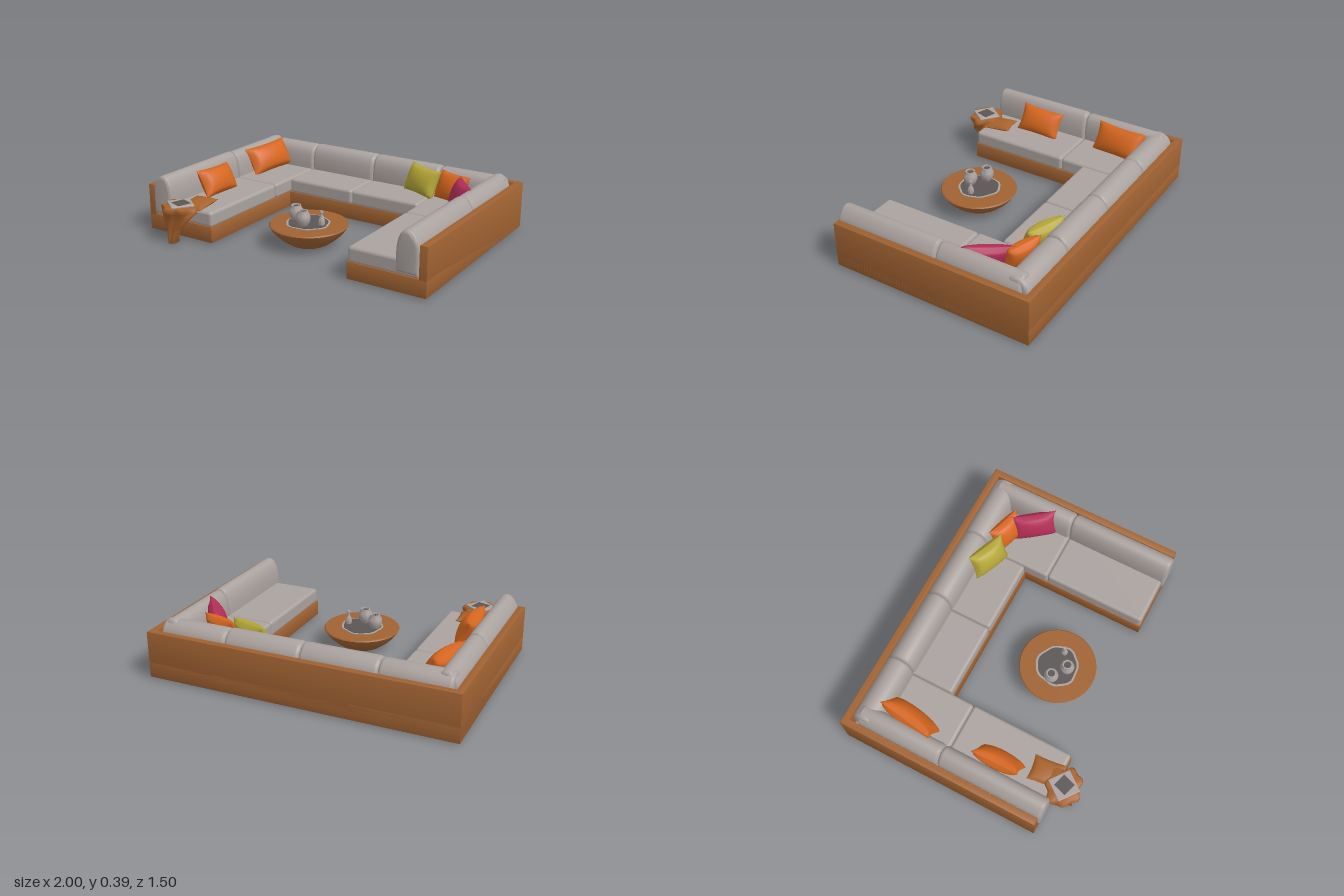
import * as THREE from 'three';
import { mergeVertices, toCreasedNormals } from 'three/addons/utils/BufferGeometryUtils.js';
import { RoundedBoxGeometry } from 'three/addons/geometries/RoundedBoxGeometry.js';

const material = (name, color) => {
  const m = new THREE.MeshStandardMaterial({ color });
  m.name = name;
  return m;
};

export function createModel() {
  const root = new THREE.Group();
  root.name = 'loungeSet';
  const wood = material('warm wood', 0xa06232);
  const fabric = material('grey fabric', 0xaaa29f);
  const dark = material('dark slate', 0x595655);
  const orange = material('orange cloth', 0xd5661f);
  const yellow = material('mustard cloth', 0xb3a536);
  const pink = material('raspberry cloth', 0xb22e57);
  const throwCloth = material('rust throw', 0xa8622c);

  const add = (name, geo, mat, x = 0, y = 0, z = 0) => {
    const mesh = new THREE.Mesh(geo, mat);
    mesh.name = name;
    mesh.position.set(x, y, z);
    root.add(mesh);
    return mesh;
  };

  // Moves each vertex by a rule, then welds and smooths
  const reshape = (geo, rule) => {
    const p = geo.attributes.position, v = new THREE.Vector3();
    for (let i = 0; i < p.count; i++) {
      rule(v.fromBufferAttribute(p, i));
      p.setXYZ(i, v.x, v.y, v.z);
    }
    geo.deleteAttribute('uv');
    geo.deleteAttribute('normal');
    const welded = mergeVertices(geo, 1e-5);
    welded.computeVertexNormals();
    return welded;
  };

  // U-shaped wooden frame: low plinth and tall outer wall
  const uFrame = (innerX, innerZ, height) => {
    const s = new THREE.Shape();
    [[-1, -0.59], [-1, 0.745], [1, 0.745], [1, -0.59], [innerX, -0.59],
      [innerX, -innerZ], [-innerX, -innerZ], [-innerX, -0.59]]
      .forEach(([x, y], i) => (i ? s.lineTo(x, y) : s.moveTo(x, y)));
    const b = 0.006;
    const g = new THREE.ExtrudeGeometry(s, {
      depth: height - 2 * b, bevelSize: b, bevelThickness: b, bevelOffset: -b, bevelSegments: 2,
    });
    return toCreasedNormals(g.translate(0, 0, b).rotateX(-Math.PI / 2), 0.6);
  };
  add('plinth', uFrame(0.495, -0.257, 0.108), wood, 0, 0.006, 0);
  add('outerWall', uFrame(0.953, -0.7, 0.306), wood, 0, 0.006, 0);

  // Seat cushions, slightly crowned
  const seat = (x0, x1, z0, z1) => {
    const w = x1 - x0, d = z1 - z0;
    add('seatCushion', new RoundedBoxGeometry(w - 0.002, 0.1, d - 0.002, 4, 0.02), fabric,
      (x0 + x1) / 2, 0.157, (z0 + z1) / 2);
  };
  for (const s of [-1, 1]) {
    const span = (a, b) => [Math.min(a * s, b * s), Math.max(a * s, b * s)];
    seat(...span(0.495, 0.953), -0.7, -0.095);
    seat(...span(0.495, 0.953), -0.095, 0.587);
    seat(...span(0, 0.495), -0.7, -0.257);
  }

  // Back cushions: plump profile swept along their length
  const backCushion = (depth, top, length, x, z, yaw) => {
    const b = 0.022;
    const curve = new THREE.SplineCurve([[0, 0.13], [0, 0.28], [0.14, 0.34], [0.42, top], [0.74, top - 0.008],
      [0.93, 0.32], [1, 0.24], [0.98, 0.13]].map(([d, y]) => new THREE.Vector2(d * depth, y)));
    const g = new THREE.ExtrudeGeometry(new THREE.Shape(curve.getPoints(28)), {
      depth: length - 2 * b, bevelSize: b, bevelThickness: b, bevelOffset: -b, bevelSegments: 4,
    });
    g.translate(0, 0, b - length / 2);
    add('backCushion', toCreasedNormals(g, 0.8), fabric, x, 0, z).rotation.y = yaw;
  };
  for (const s of [-1, 1]) {
    const yaw = s < 0 ? 0 : Math.PI;
    backCushion(0.145, 0.38, 0.70, s * 0.953, 0.253, yaw);
    backCushion(0.145, 0.375, 0.56, s * 0.953, -0.378, yaw);
    backCushion(0.172, 0.372, 0.49, s * 0.245, -0.7, -Math.PI / 2);
    backCushion(0.172, 0.368, 0.44, s * 0.71, -0.7, -Math.PI / 2);
  }

  // Scatter pillows: pinched edges, drawn-out corners
  const pillow = (name, mat, w, h, t, [x, y, z], yaw, tilt, roll = 0) => {
    const g = reshape(new THREE.BoxGeometry(2, 2, 2, 16, 16, 1), (v) => {
      const u = v.x, q = v.y;
      const puff = Math.pow(Math.max(0, (1 - u * u) * (1 - q * q)), 0.42);
      v.set(u * (0.93 + 0.07 * q * q) * w / 2, q * (0.92 + 0.08 * u * u) * h / 2, v.z * (0.04 + 0.96 * puff) * t / 2);
    });
    add(name, g, mat, x, y, z).rotation.set(-tilt, yaw, roll, 'YXZ');
  };
  pillow('cornerPillow', orange, 0.37, 0.2, 0.13, [-0.765, 0.292, -0.385], 1.4, 0.5, 0.05);
  pillow('armPillow', orange, 0.31, 0.19, 0.12, [-0.745, 0.282, 0.215], 1.6, 0.5, -0.05);
  pillow('mustardPillow', yellow, 0.27, 0.19, 0.12, [0.41, 0.29, -0.48], -0.35, 0.4, -0.04);
  pillow('rightOrangePillow', orange, 0.24, 0.19, 0.11, [0.63, 0.285, -0.465], -0.3, 0.4);
  pillow('raspberryPillow', pink, 0.3, 0.19, 0.11, [0.755, 0.285, -0.325], -0.95, 0.35, 0.04);

  // Bowl-shaped coffee table
  const lathe = (pts, seg = 40) => toCreasedNormals(
    new THREE.LatheGeometry(pts.map(([r, y]) => new THREE.Vector2(r, y)), seg), 0.7);
  add('coffeeTable', lathe([[0, 0], [0.1, 0], [0.135, 0.017], [0.18, 0.05], [0.215, 0.082],
    [0.237, 0.11], [0.249, 0.13], [0.243, 0.137], [0, 0.138]], 48), wood, 0, 0, 0.24);

  // Uneven inlay on the table top
  const inlay = (name, r, y, mat) => add(name, reshape(
    new THREE.CylinderGeometry(r, r, 0.004, 48), (v) => {
      const a = Math.atan2(v.z, v.x), k = 1 + 0.035 * Math.sin(3 * a + 1) + 0.025 * Math.sin(7 * a);
      v.x *= k;
      v.z *= k;
    }).toNonIndexed(), mat, -0.003, y, 0.24).geometry.computeVertexNormals();
  inlay('inlayRim', 0.137, 0.139, fabric);
  inlay('inlayTop', 0.124, 0.142, dark);

  // Vases and bottle
  const vase = [[0, 0], [0.025, 0], [0.04, 0.025], [0.046, 0.05], [0.043, 0.072], [0.032, 0.09],
    [0.031, 0.1], [0.024, 0.1], [0.022, 0.085], [0, 0.08]];
  for (const [x, z] of [[-0.095, 0.24], [0.002, 0.305]]) {
    add('vase', lathe(vase, 28), fabric, x, 0.138, z);
    add('vaseMouth', new THREE.CylinderGeometry(0.022, 0.022, 0.004, 20), dark, x, 0.228, z);
  }
  add('bottle', lathe([[0, 0], [0.018, 0], [0.021, 0.025], [0.017, 0.045], [0.008, 0.06], [0.007, 0.078],
    [0.012, 0.084], [0.01, 0.096], [0, 0.1]], 20), fabric, 0.095, 0.138, 0.24);

  // Throw gathered over a small stand; rows are y, x, z, half width, half depth
  const rows = [[0, -0.725, 0.682, 0.026, 0.036], [0.05, -0.725, 0.685, 0.04, 0.028],
    [0.1, -0.715, 0.685, 0.06, 0.028], [0.15, -0.705, 0.683, 0.088, 0.034],
    [0.185, -0.7, 0.665, 0.108, 0.055], [0.205, -0.7, 0.635, 0.12, 0.1],
    [0.225, -0.7, 0.635, 0.122, 0.108], [0.242, -0.695, 0.635, 0.105, 0.1]];
  add('drapedThrow', reshape(new THREE.CylinderGeometry(1, 1, 1, 48, rows.length - 1), (v) => {
    const i = Math.round((v.y + 0.5) * (rows.length - 1));
    const [y, x, z, rx, rz] = rows[i];
    const a = Math.atan2(v.z, v.x);
    const fold = 1 + 0.1 * Math.sin(7 * a + i * 0.3) + 0.05 * Math.sin(4 * a);
    v.set(x + v.x * rx * fold, y + (i > 0 && i < 7 ? 0.008 * Math.sin(3 * a) : 0), z + v.z * rz * fold);
  }), throwCloth);
  pillow('throwTail', throwCloth, 0.16, 0.2, 0.05, [-0.665, 0.215, 0.5], 0.12, 1.5);

  // Tray on the stand
  add('trayRim', new RoundedBoxGeometry(0.145, 0.014, 0.145, 2, 0.005), fabric, -0.695, 0.245, 0.635).rotation.y = -0.65;
  add('trayTop', new THREE.BoxGeometry(0.088, 0.004, 0.088), dark, -0.692, 0.252, 0.635).rotation.y = -0.3;

  return root;
}
